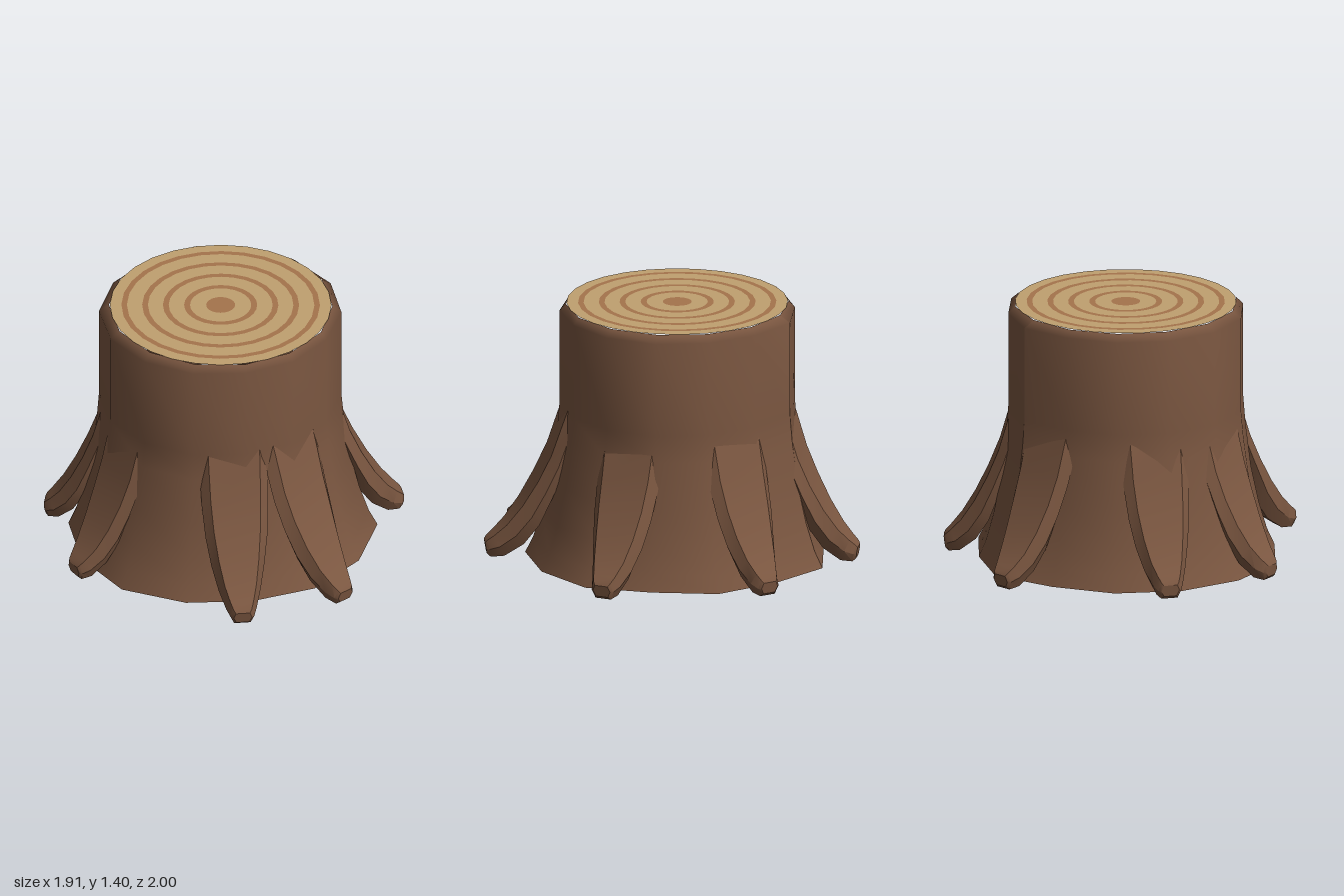
import * as THREE from 'three';
import { toCreasedNormals } from 'three/addons/utils/BufferGeometryUtils.js';

const flat = (name, color) => {
  const m = new THREE.MeshStandardMaterial({ color });
  m.name = name;
  return m;
};

function makeGeometry(positions, indices) {
  const g = new THREE.BufferGeometry();
  g.setAttribute('position', new THREE.Float32BufferAttribute(positions, 3));
  g.setIndex(indices);
  g.computeVertexNormals();
  return g;
}

// Trunk radii every 1/14 turn, starting at the back and going round by +x
const BASE = [0.85, 0.8, 0.83, 0.785, 0.845, 0.83, 0.82, 0.79, 0.81, 0.845, 0.83, 0.82, 0.81, 0.79];
const UPPER = [0.66, 0.64, 0.645, 0.655, 0.65, 0.635, 0.635, 0.63, 0.64, 0.65, 0.655, 0.655, 0.645, 0.635];
const SIDES = BASE.length;

// Trunk rings: height and share of the base flare
const RINGS = [[0.01, 1], [0.1, 0.76], [0.25, 0.5], [0.45, 0.25], [0.7, 0.07], [0.85, 0], [1.37, 0]];

const around = (j, r, y) => {
  const a = (j / SIDES) * Math.PI * 2;
  return [Math.sin(a) * r, y, -Math.cos(a) * r];
};

function trunkGeometry() {
  const pos = [], idx = [], row = SIDES + 1;
  for (const [y, flare] of RINGS) {
    for (let j = 0; j <= SIDES; j++) {
      const k = j % SIDES;
      pos.push(...around(j, UPPER[k] + (BASE[k] - UPPER[k]) * flare, y));
    }
  }
  // bevelled rim
  for (let j = 0; j <= SIDES; j++) pos.push(...around(j, 0.602, 1.408));
  for (let i = 0; i < RINGS.length; i++) {
    for (let j = 0; j < SIDES; j++) {
      const a = i * row + j, b = a + row;
      idx.push(a, b, b + 1, a, b + 1, a + 1);
    }
  }
  return makeGeometry(pos, idx);
}

function undersideGeometry() {
  const pos = [0, 0.01, 0], idx = [];
  for (let j = 0; j < SIDES; j++) {
    pos.push(...around(j, BASE[j], 0.01));
    idx.push(0, j + 1, ((j + 1) % SIDES) + 1);
  }
  return makeGeometry(pos, idx);
}

// Root sections: top reach, top height, bottom reach, bottom height, half width
const ROOT = [
  [0.57, 0.95, 0.45, 0.9, 0.188], [0.63, 0.78, 0.55, 0.7, 0.185],
  [0.69, 0.6, 0.62, 0.5, 0.18], [0.76, 0.45, 0.69, 0.34, 0.168],
  [0.84, 0.31, 0.75, 0.2, 0.144], [0.92, 0.2, 0.83, 0.09, 0.114],
  [0.985, 0.135, 0.93, 0.02, 0.083], [1.02, 0.105, 1.0, 0.012, 0.064],
  [1.03, 0.09, 1.02, 0.028, 0.05],
];

// Six-sided tapering root that grows along +z
function rootGeometry(length) {
  const pos = [], idx = [], n = 6;
  const stretch = (length - 0.63) / 0.4;
  const reach = (s) => 0.63 + (s - 0.63) * (s > 0.63 ? stretch : 1);
  for (const [ts, ty, bs, by, w] of ROOT) {
    const t = reach(ts), b = reach(bs), m = (t + b) / 2, my = (ty + by) / 2;
    pos.push(w, my, m, 0.75 * w, ty, t, -0.75 * w, ty, t);
    pos.push(-w, my, m, -0.7 * w, by, b, 0.7 * w, by, b);
  }
  for (let i = 0; i < ROOT.length - 1; i++) {
    for (let j = 0; j < n; j++) {
      const a = i * n + j, b = i * n + ((j + 1) % n);
      idx.push(a, b, b + n, a, b + n, a + n);
    }
  }
  const tip = (ROOT.length - 1) * n;
  for (let j = 1; j < n - 1; j++) idx.push(tip, tip + j, tip + j + 1);
  return toCreasedNormals(makeGeometry(pos, idx), 0.6);
}

// Root tips as x, z offsets from the trunk axis
const TIPS = [[-0.1, 1.02], [0.49, 0.92], [1.0, 0.02], [0.58, -0.79], [-0.22, -0.97], [-0.9, -0.32], [-0.89, 0.35]];

export function createModel() {
  const bark = flat('bark brown', 0x7a5640);
  const wood = flat('pale wood', 0xc0a070);
  const grain = flat('growth ring brown', 0xa5744c);

  const model = new THREE.Group();
  model.name = 'treeStump';
  const stump = new THREE.Group();
  stump.name = 'stump';
  stump.position.set(-0.04, 0, -0.02);
  model.add(stump);

  const add = (name, geometry, material) => {
    const mesh = new THREE.Mesh(geometry, material);
    mesh.name = name;
    stump.add(mesh);
    return mesh;
  };

  add('trunk', trunkGeometry(), bark);
  add('underside', undersideGeometry(), bark);

  TIPS.forEach(([x, z], i) => {
    const root = add('root' + (i + 1), rootGeometry(Math.hypot(x, z)), bark);
    root.rotation.y = Math.atan2(x, z);
  });

  // Cut face: dark core, then alternating pale and dark bands
  const bands = [0, 0.078, 0.165, 0.197, 0.28, 0.311, 0.392, 0.423, 0.505, 0.535, 0.597];
  for (let i = 0; i < bands.length - 1; i++) {
    const geometry = i === 0
      ? new THREE.CircleGeometry(bands[1], 28)
      : new THREE.RingGeometry(bands[i], bands[i + 1], 28);
    const dark = i % 2 === 0;
    const band = add(dark ? 'growthRing' : 'woodBand', geometry, dark ? grain : wood);
    band.rotation.x = -Math.PI / 2;
    band.position.y = 1.411;
  }
  return model;
}
